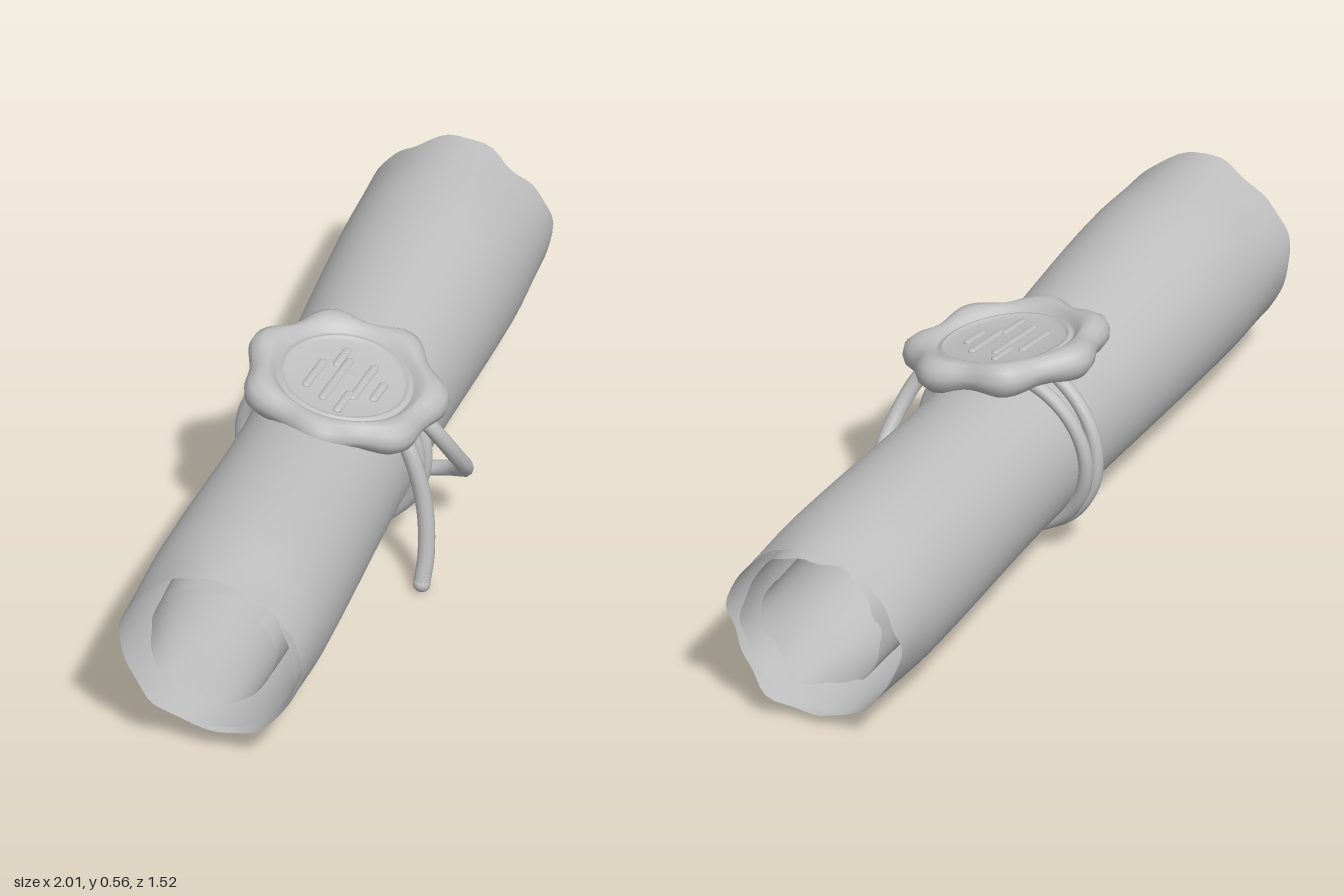
import * as THREE from 'three';
import { mergeVertices } from 'three/addons/utils/BufferGeometryUtils.js';

const grey = new THREE.MeshStandardMaterial({ color: 0xbfbfbf, side: THREE.DoubleSide });
grey.name = 'plain grey';

const smooth = THREE.MathUtils.smoothstep;

function mesh(name, geometry) {
  const m = new THREE.Mesh(geometry, grey);
  m.name = name;
  return m;
}

// Weld seams left by wrapped geometries, then smooth
function weld(geometry) {
  geometry.deleteAttribute('uv');
  geometry.deleteAttribute('normal');
  const g = mergeVertices(geometry, 1e-4);
  g.computeVertexNormals();
  return g;
}

// Height of the roll's axis at position s along it
const axisHeight = (s) => 0.264 + (s < 0 ? 0.026 * smooth(-s, 0.1, 0.9) : -0.003 * s);

// Rolled sheet: a spiral section swept along x, pinched at the cord, with ragged ends
function rolledSheet() {
  const turns = 2.4, nu = 150, nv = 48;
  const g = new THREE.PlaneGeometry(1, 1, nu, nv);
  const p = g.attributes.position;
  for (let i = 0; i < p.count; i++) {
    const t = (p.getX(i) + 0.5) * turns;
    const v = p.getY(i) * 2;
    const a = -Math.PI / 2 - 0.25 + t * Math.PI * 2;
    const ragged = 0.012 * Math.sin(5 * a + t) + 0.007 * Math.sin(11 * a + 2 * t);
    const recess = 0.03 * smooth(t, 0.9, 1.5);
    const end = v < 0
      ? 1.03 + 0.02 * Math.sin(a) + 0.6 * ragged - recess
      : 1.035 + ragged - recess;
    const s = v * end;
    const flare = smooth(Math.abs(s), 0.05, 0.85);
    const nearEnd = smooth(Math.abs(s), 0.8, 1.03);
    let r = 0.238 - 0.01 * t - 0.055 * smooth(t, 1.05, 1.85);
    r *= 0.905 + 0.095 * flare;
    r += nearEnd * (0.005 * Math.sin(4 * a + 3 * t) - 0.004);
    p.setXYZ(i, s, axisHeight(s) + r * Math.sin(a), r * Math.cos(a));
  }
  g.computeVertexNormals();
  return g;
}

// Cord loop round the roll; the two loops meet underneath and part near the seal
function cordLoop(side) {
  const points = [];
  for (let i = 0; i < 20; i++) {
    const a = (i / 20) * Math.PI * 2;
    const r = 0.226 + 0.006 * Math.cos(2 * a + side);
    points.push(new THREE.Vector3(
      side * (0.012 + 0.016 * (1 + Math.sin(a))) - 0.02 * Math.cos(a),
      0.266 + r * Math.sin(a) * 0.98,
      r * Math.cos(a)));
  }
  return new THREE.TubeGeometry(new THREE.CatmullRomCurve3(points, true), 80, 0.018, 10, true);
}

// Loose cord end with a rounded tip
function cordTail(name, coords, radius) {
  const points = coords.map((c) => new THREE.Vector3(...c));
  const group = new THREE.Group();
  group.name = name;
  const curve = new THREE.CatmullRomCurve3(points);
  group.add(mesh(name + 'Cord', new THREE.TubeGeometry(curve, 40, radius, 10)));
  const tip = mesh(name + 'Tip', new THREE.SphereGeometry(radius * 1.05, 12, 8));
  tip.position.copy(points[points.length - 1]);
  group.add(tip);
  return group;
}

// Wax seal: turned profile with a lobed rim, sagging over the roll
const sag = (x, z) => -0.3 * Math.max(0, 0.54 * x + 0.84 * z) ** 2;

function waxSeal() {
  const profile = [
    [0, -0.03], [0.12, -0.035], [0.19, -0.043], [0.22, -0.035], [0.238, -0.015], [0.242, 0.005],
    [0.234, 0.026], [0.215, 0.039], [0.195, 0.041], [0.18, 0.032], [0.17, 0.018], [0.164, 0.015],
    [0.158, 0.022], [0.151, 0.022], [0.145, 0.013], [0.08, 0.014], [0, 0.015],
  ].map(([r, y]) => new THREE.Vector2(r, y));
  const g = new THREE.LatheGeometry(profile, 84);
  const p = g.attributes.position;
  for (let i = 0; i < p.count; i++) {
    const x = p.getX(i), z = p.getZ(i), r = Math.hypot(x, z);
    const a = Math.atan2(z, x);
    const rim = smooth(r, 0.165, 0.235);
    const k = 1 + rim * (0.055 * Math.cos(7 * a + 0.9) + 0.015 * Math.sin(2 * a));
    const y = p.getY(i) * (1 + 0.15 * rim * Math.cos(7 * a + 0.9));
    p.setXYZ(i, x * k, y + sag(x, z), z * k);
  }
  return weld(g);
}

export function createModel() {
  const model = new THREE.Group();
  model.name = 'sealedScroll';

  // Roll and cord loops lie diagonally
  const roll = new THREE.Group();
  roll.name = 'roll';
  roll.rotation.y = 0.572;
  roll.add(mesh('rolledSheet', rolledSheet()));
  for (const side of [-1, 1]) roll.add(mesh('cordLoop', cordLoop(side)));
  model.add(roll);

  // Hanging cord ends
  model.add(cordTail('straightTail',
    [[0, 0.43, 0.23], [0.01, 0.36, 0.275], [0.025, 0.22, 0.31], [0.015, 0.1, 0.328], [-0.005, 0.023, 0.335]], 0.021));
  model.add(cordTail('curledTail',
    [[0.08, 0.43, 0.19], [0.12, 0.36, 0.235], [0.18, 0.27, 0.24], [0.24, 0.19, 0.21],
      [0.265, 0.145, 0.14], [0.25, 0.125, 0.085], [0.215, 0.12, 0.05]], 0.02));

  // Seal with faint raised strokes pressed in its face
  const seal = new THREE.Group();
  seal.name = 'seal';
  seal.position.set(-0.03, 0.482, 0.075);
  seal.rotation.set(0.17, 0, -0.03);
  seal.add(mesh('waxSeal', waxSeal()));
  const strokes = [[-0.05, -0.055, 0.1], [0.045, -0.065, 0.06], [-0.02, -0.01, 0.16],
    [0.03, 0.035, 0.13], [-0.06, 0.065, 0.07], [0.04, 0.08, 0.06]];
  for (const [x, z, length] of strokes) {
    const ridge = mesh('pressedRidge', new THREE.CapsuleGeometry(0.011, length, 4, 10));
    ridge.geometry.rotateZ(Math.PI / 2).scale(1, 0.5, 1).rotateY(0.45);
    ridge.position.set(x, 0.014 + sag(x, z), z);
    seal.add(ridge);
  }
  model.add(seal);
  return model;
}
